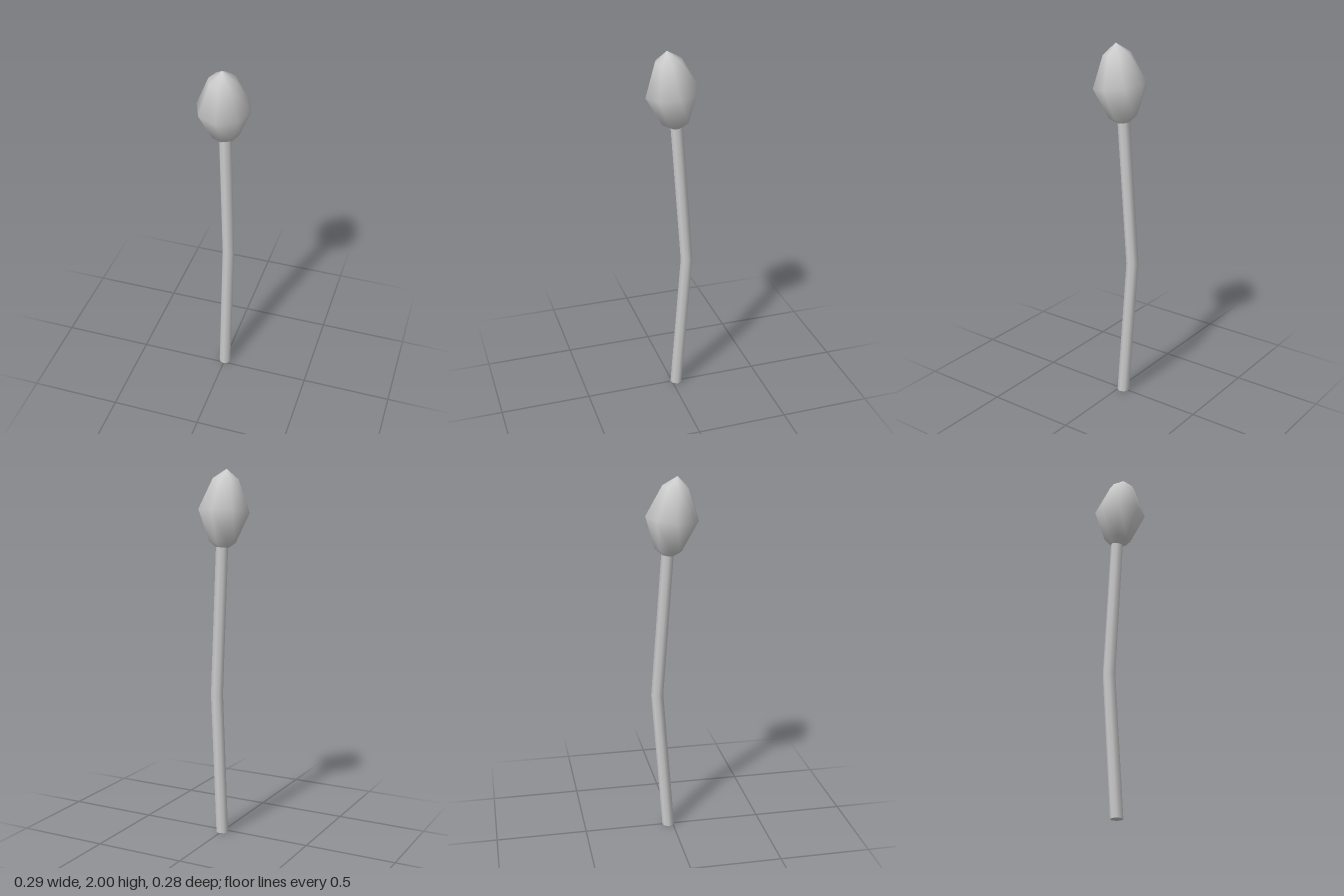
import * as THREE from 'three';

export function createModel() {
  const group = new THREE.Group();
  const material = new THREE.MeshStandardMaterial({ color: 0xcccccc });

  // Stem: eight-sided rod in two lengths, its middle ring pushed back to bend it
  const height = 1.61, bend = 0.06;
  const stemGeometry = new THREE.CylinderGeometry(0.034, 0.034, height, 8, 2);
  const pos = stemGeometry.attributes.position;
  for (let i = 0; i < pos.count; i++) {
    const fromMiddle = Math.abs(pos.getY(i)) / (height / 2);
    pos.setZ(i, pos.getZ(i) - bend * (1 - fromMiddle));
  }
  const stem = new THREE.Mesh(stemGeometry, material);
  stem.name = 'stem';
  stem.position.set(0, height / 2, -0.025);
  group.add(stem);

  // Bud: eight-sided pointed head, tipped slightly forward
  const profile = [
    [0, -0.221], [0.074, -0.168], [0.143, -0.004], [0.073, 0.163], [0, 0.217],
  ].map(([r, y]) => new THREE.Vector2(r, y));
  const bud = new THREE.Mesh(new THREE.LatheGeometry(profile, 8), material);
  bud.name = 'bud';
  bud.position.set(0, 1.784, -0.001);
  bud.rotation.x = 0.125;
  group.add(bud);

  return group;
}
